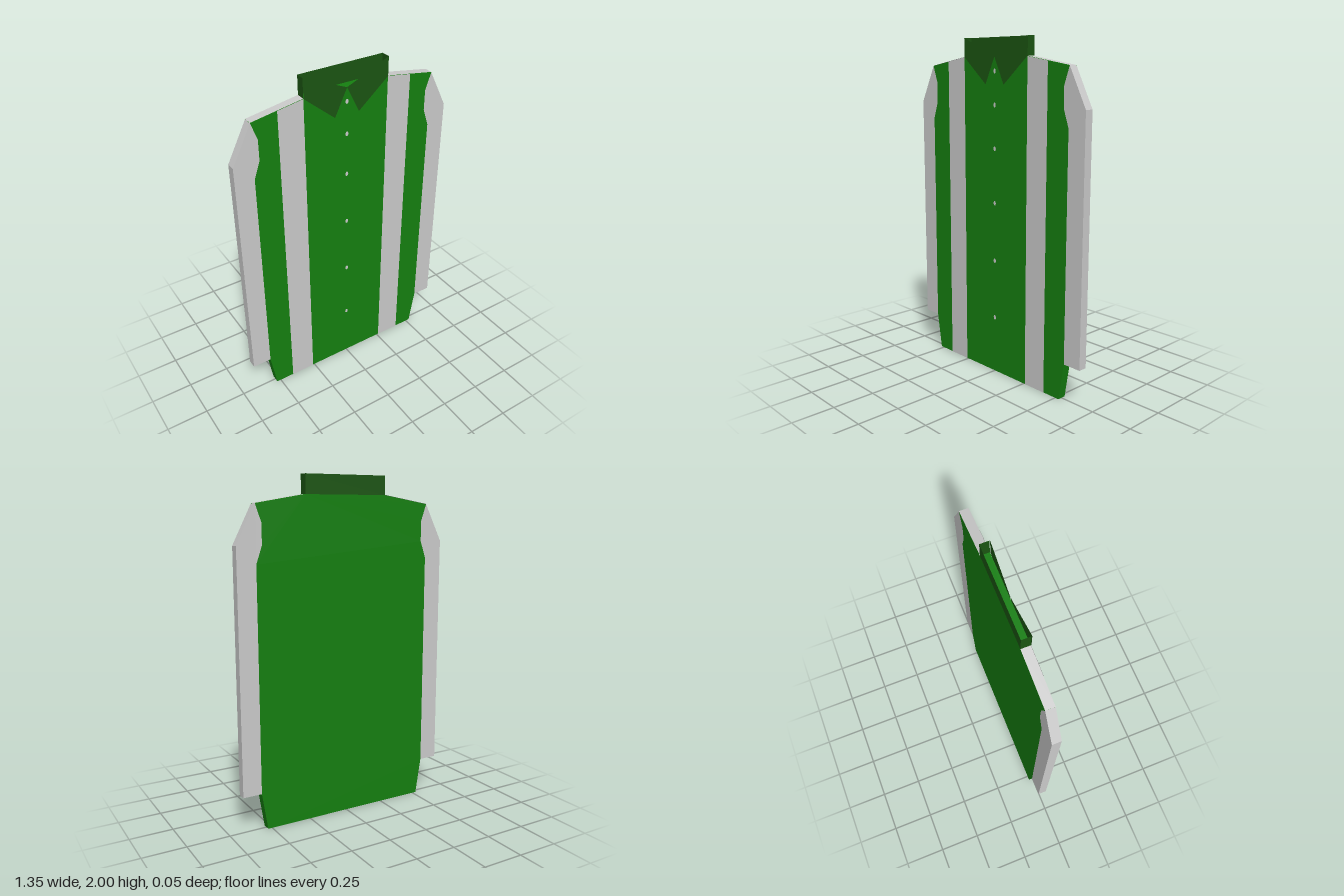
import * as THREE from 'three';

const HALF = 0.026; // half the thickness of the shirt
const LIFT = 0.0015; // keeps applied panels clear of the cloth

const material = (color, side = THREE.FrontSide) =>
  new THREE.MeshStandardMaterial({ color, side, flatShading: true });

const shapeOf = (points) => new THREE.Shape(points.map(([x, y]) => new THREE.Vector2(x, y)));

function addMesh(parent, name, geometry, mat, z = 0) {
  const mesh = new THREE.Mesh(geometry, mat);
  mesh.name = name;
  mesh.position.z = z;
  parent.add(mesh);
  return mesh;
}

const slab = (points) =>
  new THREE.ExtrudeGeometry(shapeOf(points), { depth: HALF * 2, bevelEnabled: false });

const panel = (points) => new THREE.ShapeGeometry(shapeOf(points));

export function createModel() {
  const model = new THREE.Group();
  model.name = 'shirt';
  const green = material(0x158010);
  const grey = material(0xcccccc);
  const greyThin = material(0xcccccc, THREE.DoubleSide);
  const collarGreen = material(0x1b5512, THREE.DoubleSide);

  // Height of the sloping shoulder at a given x
  const shoulderY = (x) => 1.89 - ((x - 0.26) / 0.3) * 0.05;

  // Body with armholes cut into both edges
  const edge = [[0.525, 0], [0.56, 0.22], [0.56, 1.52], [0.525, 1.62],
    [0.525, 1.74], [0.56, 1.84], [0.26, 1.89]];
  const mirrored = edge.map(([x, y]) => [-x, y]).reverse();
  addMesh(model, 'body', slab([...edge, ...mirrored]), green, -HALF);

  // Collar: standing back panel
  const collar = new THREE.Group();
  collar.name = 'collar';
  model.add(collar);
  addMesh(collar, 'collarBack',
    panel([[-0.26, 1.89], [0.26, 1.89], [0.26, 2], [-0.26, 2]]), collarGreen, -HALF);

  for (const s of [1, -1]) {
    const side = s > 0 ? 'left' : 'right';
    const flip = (points) => points.map(([x, y]) => [s * x, y]);

    // Sleeve
    addMesh(model, side + 'Sleeve', slab(flip([[0.56, 0.22], [0.673, 0.22], [0.673, 1.62],
      [0.56, 1.84], [0.525, 1.74], [0.525, 1.62], [0.56, 1.52]])), grey, -HALF);

    // Vertical stripe on the chest
    addMesh(model, side + 'Stripe', panel(flip([[0.26, 0], [0.41, 0],
      [0.41, shoulderY(0.41)], [0.26, 1.89]])), greyThin, HALF + LIFT);

    // Shoulder seam covering the sloping top edge
    const seam = addMesh(model, side + 'ShoulderSeam',
      new THREE.PlaneGeometry(Math.hypot(0.3, 0.05), HALF * 2).rotateX(-Math.PI / 2), greyThin);
    seam.position.set(s * 0.41, shoulderY(0.41) + LIFT, 0);
    seam.rotation.z = -s * Math.atan2(0.05, 0.3);

    // Collar end and pointed front flap
    const end = addMesh(collar, side + 'CollarEnd',
      new THREE.PlaneGeometry(HALF * 2, 0.11).rotateY(Math.PI / 2), collarGreen);
    end.position.set(s * 0.26, 1.945, 0);
    addMesh(collar, side + 'CollarFlap', panel(flip([[0.26, 2], [0, 1.89],
      [0.075, 1.735], [0.26, 1.89]])), collarGreen, HALF + LIFT * 2);
  }

  // Buttons down the front
  for (const y of [1.81, 1.62, 1.37, 1.05, 0.7, 0.345]) {
    const button = addMesh(model, 'button', new THREE.CircleGeometry(0.014, 12), greyThin, HALF + LIFT);
    button.position.y = y;
    button.scale.x = 0.7;
  }
  return model;
}
